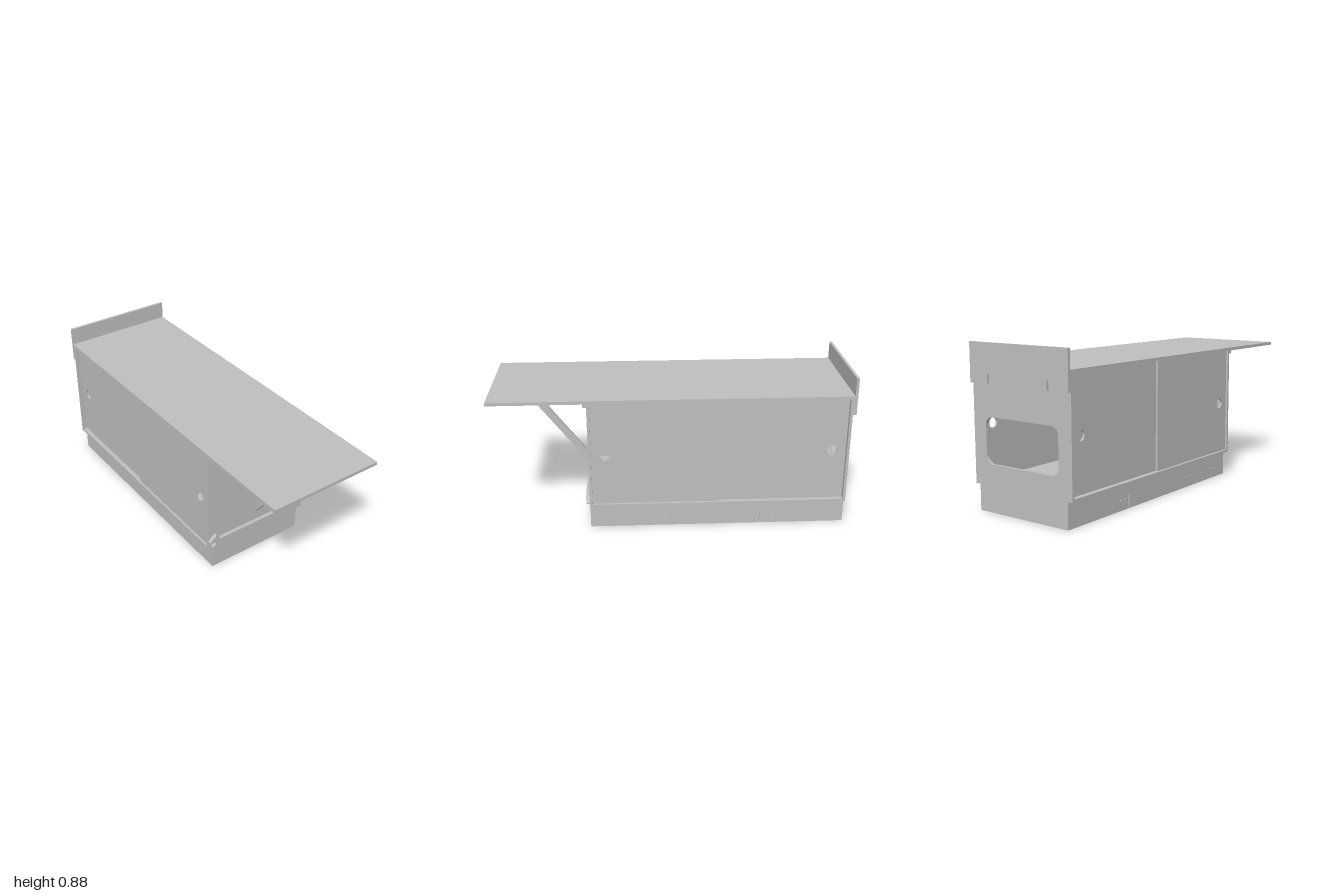
import * as THREE from 'three';

const T = 0.015; // panel thickness

export function createModel() {
  const model = new THREE.Group();
  const grey = new THREE.MeshStandardMaterial({ color: 0xc0c0c0 });
  grey.name = 'plain grey';

  const add = (name, geometry) => {
    const mesh = new THREE.Mesh(geometry, grey);
    mesh.name = name;
    model.add(mesh);
  };
  // Box given by its lower and upper limits on each axis
  const box = (name, x0, x1, y0, y1, z0, z1) =>
    add(name, new THREE.BoxGeometry(x1 - x0, y1 - y0, z1 - z0)
      .translate((x0 + x1) / 2, (y0 + y1) / 2, (z0 + z1) / 2));

  const outline = (points) => new THREE.Shape(points.map(([u, v]) => new THREE.Vector2(u, v)));
  const rect = (u0, u1, v0, v1) => outline([[u0, v0], [u1, v0], [u1, v1], [u0, v1]]);
  const circle = (u, v, r) => new THREE.Path().absarc(u, v, r, 0, Math.PI * 2, true);
  const roundRect = (u0, u1, v0, v1, r) => new THREE.Path()
    .absarc(u0 + r, v0 + r, r, Math.PI, Math.PI * 1.5)
    .absarc(u1 - r, v0 + r, r, -Math.PI / 2, 0)
    .absarc(u1 - r, v1 - r, r, 0, Math.PI / 2)
    .absarc(u0 + r, v1 - r, r, Math.PI / 2, Math.PI)
    .closePath();

  // Panel in the x-y plane, from z0 towards +z
  const facePanel = (name, shape, holes, z0, depth = T) => {
    shape.holes.push(...holes);
    add(name, new THREE.ExtrudeGeometry(shape, { depth, bevelEnabled: false, curveSegments: 10 })
      .translate(0, 0, z0));
  };
  // Panel in the z-y plane, from x0 towards +x
  const sidePanel = (name, shape, holes, x0, depth = T) => {
    shape.holes.push(...holes);
    add(name, new THREE.ExtrudeGeometry(shape, { depth, bevelEnabled: false, curveSegments: 10 })
      .rotateY(-Math.PI / 2).translate(x0 + depth, 0, 0));
  };

  // Worktop with overhang, and the cleat below it
  box('worktop', -0.33, 0.33, 0.76, 0.778, -0.985, 1);
  box('worktopCleat', -0.33, 0.33, 0.742, 0.76, 0.465, 0.485);

  // Upstand at the back, with two slots open at the bottom
  facePanel('backUpstand', outline([
    [-0.33, 0.67], [-0.206, 0.67], [-0.206, 0.72], [-0.194, 0.72], [-0.194, 0.67],
    [0.194, 0.67], [0.194, 0.72], [0.206, 0.72], [0.206, 0.67],
    [0.33, 0.67], [0.33, 0.88], [-0.33, 0.88],
  ]), [], -1);
  box('upstandSpacer', -0.33, 0.33, 0.68, 0.76, -0.985, -0.98);

  // Cabinet end panels and floor
  facePanel('frontPanel', rect(-0.33, 0.33, 0.14, 0.76), [], 0.45);
  facePanel('backPanel', rect(-0.33, 0.33, 0.14, 0.76),
    [roundRect(-0.245, 0.245, 0.255, 0.5, 0.045)], -0.98);
  box('cabinetFloor', -0.33, 0.33, 0.14, 0.155, -0.965, 0.45);

  // Sliding doors on both sides: the front one runs outside the back one
  for (const s of [-1, 1]) {
    const x = (outer) => (s > 0 ? outer - 0.012 : -outer);
    sidePanel('frontDoor', rect(-0.265, 0.45, 0.157, 0.758), [circle(0.375, 0.45, 0.028)], x(0.319), 0.012);
    sidePanel('backDoor', rect(-0.965, -0.245, 0.157, 0.758), [circle(-0.885, 0.45, 0.028)], x(0.305), 0.012);
  }

  // Plinth with small fixing holes and a slit on each side
  const sideHoles = () => {
    const holes = [];
    for (const z of [0.325, 0.068, -0.55]) {
      for (const d of [-0.02, 0.02]) holes.push(circle(z + d, 0.06, 0.006));
      holes.push(circle(z - 0.045, 0.08, 0.003), circle(z + 0.045, 0.08, 0.003));
    }
    holes.push(circle(0.225, 0.018, 0.003), circle(0.165, 0.018, 0.003));
    holes.push(rect(-0.499, -0.494, 0.01, 0.075));
    return holes;
  };
  const endHoles = () => {
    const holes = [-0.2, -0.145, -0.03, 0.03, 0.145, 0.2].map((x) => circle(x, 0.018, 0.003));
    for (const s of [-1, 1]) for (const y of [0.053, 0.113]) holes.push(circle(s * 0.283, y, 0.003));
    return holes;
  };
  for (const x0 of [-0.3, 0.3 - T]) sidePanel('plinthSide', rect(-0.98, 0.465, 0, 0.14), sideHoles(), x0);
  for (const z0 of [-0.98, 0.45]) {
    facePanel('plinthEnd', rect(-0.3 + T, 0.3 - T, 0, 0.14), endHoles(), z0);
  }
  box('plinthBottom', -0.3 + T, 0.3 - T, 0, 0.008, -0.965, 0.45);

  // Diagonal strut carrying the overhang
  sidePanel('overhangStrut', outline([[0.465, 0.258], [0.855, 0.76], [0.803, 0.76], [0.465, 0.322]]),
    [], -0.011, 0.022);

  // Swing latch bar across the front, with a hooked end
  facePanel('latchBar', outline([
    [-0.31, 0.16], [0.32, 0.16], [0.327, 0.166], [0.3, 0.202], [-0.26, 0.202],
    [-0.285, 0.236], [-0.33, 0.2], [-0.315, 0.184], [-0.303, 0.195], [-0.29, 0.177],
  ]), [], 0.465, 0.021);

  return model;
}
